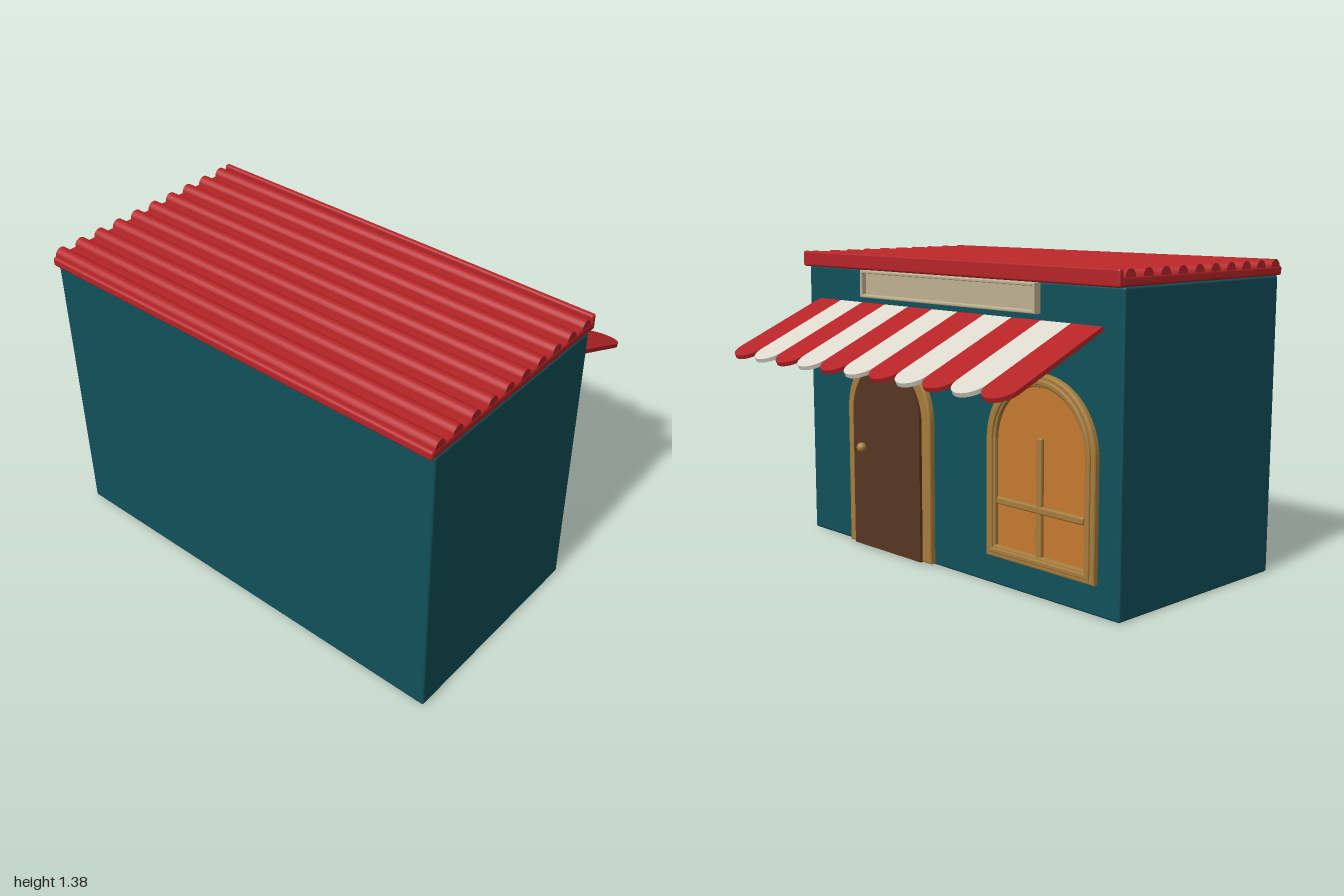
import * as THREE from 'three';
import { RoundedBoxGeometry } from 'three/addons/geometries/RoundedBoxGeometry.js';

const paint = (name, color) => {
  const m = new THREE.MeshStandardMaterial({ color });
  m.name = name;
  return m;
};

function add(parent, name, geometry, material, x = 0, y = 0, z = 0) {
  const mesh = new THREE.Mesh(geometry, material);
  mesh.name = name;
  mesh.position.set(x, y, z);
  parent.add(mesh);
  return mesh;
}

// Outline with straight sides and a semicircular top
function arch(path, half, bottom, spring) {
  path.moveTo(-half, bottom);
  path.lineTo(half, bottom);
  path.lineTo(half, spring);
  path.absarc(0, spring, half, 0, Math.PI, false);
  path.lineTo(-half, bottom);
  return path;
}

// Arched surround; an open bottom leaves two legs standing on the ground
function archFrame(half, width, bottom, spring, open) {
  if (!open) {
    const shape = arch(new THREE.Shape(), half, bottom, spring);
    shape.holes.push(arch(new THREE.Path(), half - width, bottom + width, spring));
    return shape;
  }
  const inner = half - width;
  const shape = new THREE.Shape();
  shape.moveTo(inner, bottom);
  shape.lineTo(half, bottom);
  shape.lineTo(half, spring);
  shape.absarc(0, spring, half, 0, Math.PI, false);
  shape.lineTo(-half, bottom);
  shape.lineTo(-inner, bottom);
  shape.lineTo(-inner, spring);
  shape.absarc(0, spring, inner, Math.PI, 0, true);
  shape.lineTo(inner, bottom);
  return shape;
}

// Extrusion whose total depth includes its bevel
function slab(shape, depth, bevel = 0) {
  return new THREE.ExtrudeGeometry(shape, {
    depth: depth - bevel, curveSegments: 24,
    bevelEnabled: bevel > 0, bevelThickness: bevel, bevelSize: bevel, bevelOffset: -bevel, bevelSegments: 2,
  });
}

function rectangle(path, w, h) {
  path.moveTo(-w, -h);
  path.lineTo(w, -h);
  path.lineTo(w, h);
  path.lineTo(-w, h);
  path.lineTo(-w, -h);
  return path;
}

export function createModel() {
  const teal = paint('teal wall', 0x10505a);
  const red = paint('red', 0xb52427);
  const cream = paint('cream cloth', 0xddd8cc);
  const beige = paint('beige sign', 0xbfb192);
  const oak = paint('oak trim', 0xa67c3c);
  const brown = paint('brown door', 0x583722);
  const amber = paint('amber glass', 0xc47a30);

  const model = new THREE.Group();
  model.name = 'shop';

  add(model, 'walls', new RoundedBoxGeometry(1.994, 1.305, 0.998, 2, 0.01), teal, 0, 0.6525, 0.25);

  // Corrugated roof
  const roof = new THREE.Group();
  roof.name = 'roof';
  model.add(roof);
  add(roof, 'roofSlab', new RoundedBoxGeometry(2, 0.042, 1.045, 2, 0.012), red, 0, 1.326, 0.2515);
  const ridge = new THREE.CylinderGeometry(0.03, 0.03, 1.996, 20).rotateZ(Math.PI / 2);
  for (let i = 0; i < 10; i++) add(roof, 'roofRidge', ridge, red, 0, 1.345, -0.22 + i * 0.105);
  add(roof, 'roofTrim', new RoundedBoxGeometry(2, 0.072, 0.026, 2, 0.01), red, 0, 1.34, -0.272);

  // Shop face, built facing +z and turned to the rear
  const face = new THREE.Group();
  face.name = 'shopFace';
  face.position.z = -0.248;
  face.rotation.y = Math.PI;
  model.add(face);

  // Recessed sign board with a raised rim
  const rim = rectangle(new THREE.Shape(), 0.56, 0.062);
  rim.holes.push(rectangle(new THREE.Path(), 0.545, 0.048));
  add(face, 'signRim', slab(rim, 0.037, 0.004), beige, 0, 1.24, 0);
  add(face, 'signPanel', new THREE.BoxGeometry(1.1, 0.104, 0.012), beige, 0, 1.24, 0.006);

  // Striped awning with scalloped ends
  const awning = new THREE.Group();
  awning.name = 'awning';
  awning.position.set(0, 1.145, 0.01);
  awning.rotation.x = -1.164;
  face.add(awning);
  const stripes = 11, pitch = 1.8 / stripes, r = pitch / 2, length = 0.568;
  const stripe = new THREE.Shape();
  stripe.moveTo(r, 0);
  stripe.lineTo(-r, 0);
  stripe.lineTo(-r, r - length);
  stripe.absarc(0, r - length, r, Math.PI, Math.PI * 2, false);
  stripe.lineTo(r, 0);
  const cloth = slab(stripe, 0.018);
  for (let i = 0; i < stripes; i++) {
    add(awning, 'awningStripe', cloth, i % 2 ? cream : red, (i - (stripes - 1) / 2) * pitch, 0, -0.009);
  }

  // Arched door
  const door = new THREE.Group();
  door.name = 'door';
  door.position.x = -0.38;
  face.add(door);
  add(door, 'doorFrame', slab(archFrame(0.293, 0.06, 0.005, 0.648, true), 0.03, 0.008), oak);
  add(door, 'doorPanel', slab(arch(new THREE.Shape(), 0.238, 0.006, 0.648), 0.042), brown);
  add(door, 'doorKnob', new THREE.SphereGeometry(0.023, 20, 14), oak, -0.16, 0.48, 0.058);
  add(door, 'knobStem', new THREE.CylinderGeometry(0.01, 0.01, 0.03, 12).rotateX(Math.PI / 2), oak, -0.16, 0.48, 0.045);

  // Arched window with crossed bars
  const win = new THREE.Group();
  win.name = 'window';
  win.position.x = 0.578;
  face.add(win);
  add(win, 'windowFrame', slab(archFrame(0.305, 0.055, 0.13, 0.635, false), 0.028, 0.008), oak);
  add(win, 'windowBead', slab(archFrame(0.285, 0.024, 0.15, 0.635, false), 0.037, 0.006), oak);
  add(win, 'windowGlass', slab(arch(new THREE.Shape(), 0.26, 0.17, 0.635), 0.009), amber);
  add(win, 'uprightBar', new RoundedBoxGeometry(0.032, 0.53, 0.026, 2, 0.008), oak, 0, 0.415, 0.013);
  add(win, 'crossBar', new RoundedBoxGeometry(0.49, 0.032, 0.028, 2, 0.008), oak, 0, 0.38, 0.014);

  return model;
}
